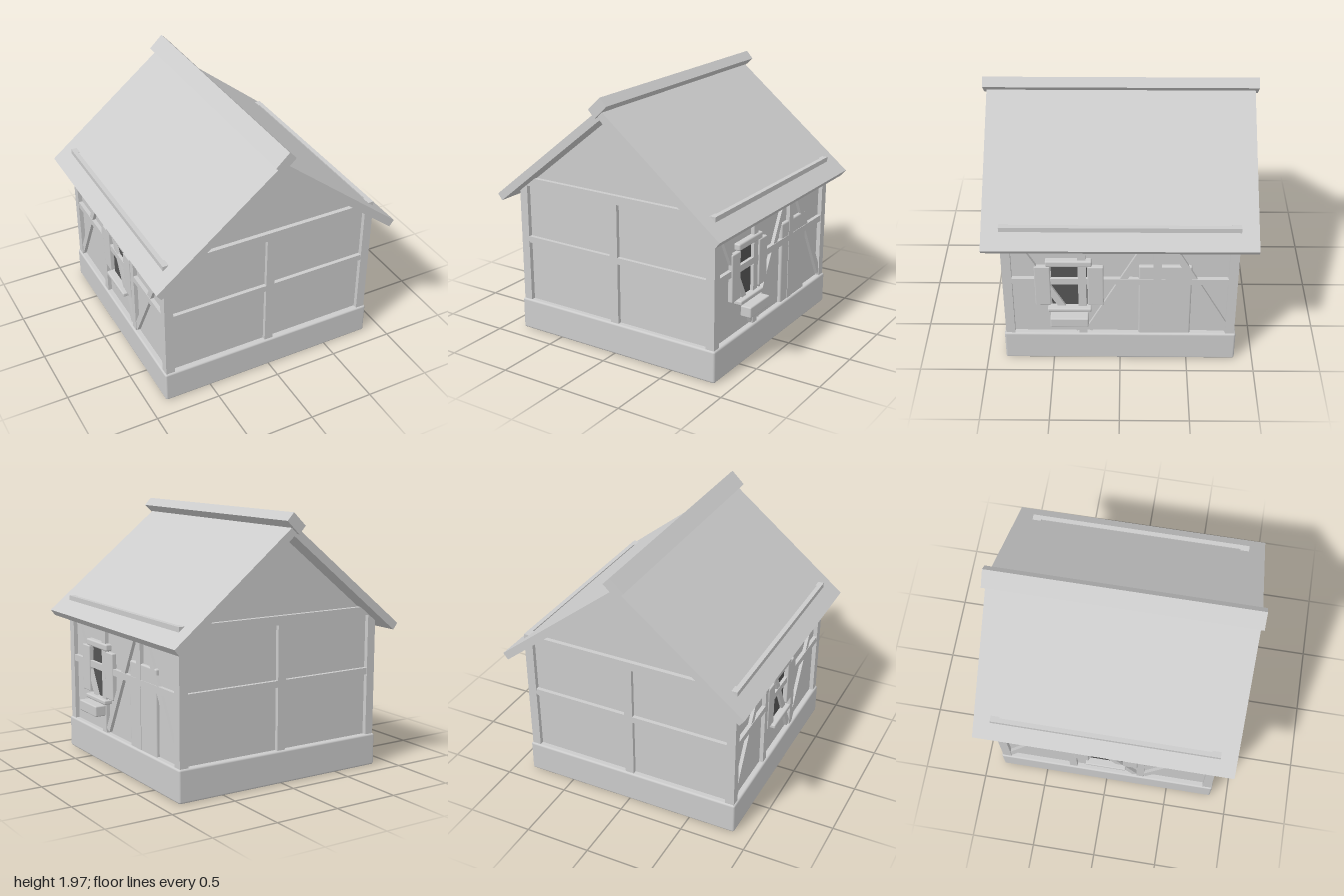
import * as THREE from 'three';
import { RoundedBoxGeometry } from 'three/addons/geometries/RoundedBoxGeometry.js';

const grey = new THREE.MeshStandardMaterial({ color: 0xcccccc });
const dark = new THREE.MeshStandardMaterial({ color: 0x555555 });

// Box given by its extents on each axis; a radius softens its edges
function block(parent, name, [x0, x1], [y0, y1], [z0, z1], radius = 0, material = grey) {
  const size = [x1 - x0, y1 - y0, z1 - z0];
  const geometry = radius
    ? new RoundedBoxGeometry(...size, 2, radius)
    : new THREE.BoxGeometry(...size);
  const mesh = new THREE.Mesh(geometry, material);
  mesh.name = name;
  mesh.position.set((x0 + x1) / 2, (y0 + y1) / 2, (z0 + z1) / 2);
  parent.add(mesh);
  return mesh;
}

// Prism with its outline in the xy plane, centred along z
function prism(parent, name, points, depth) {
  const shape = new THREE.Shape(points.map(([x, y]) => new THREE.Vector2(x, y)));
  const geometry = new THREE.ExtrudeGeometry(shape, { depth, bevelEnabled: false });
  geometry.translate(0, 0, -depth / 2);
  const mesh = new THREE.Mesh(geometry, grey);
  mesh.name = name;
  parent.add(mesh);
  return mesh;
}

// Slanted timber on a side wall, from [z, y] to [z, y]
function brace(parent, side, [za, ya], [zb, yb]) {
  const length = Math.hypot(zb - za, yb - ya);
  const mesh = new THREE.Mesh(new THREE.BoxGeometry(0.04, length, 0.05), grey);
  mesh.name = 'brace';
  mesh.position.set(side * 0.826, (ya + yb) / 2, (za + zb) / 2);
  mesh.rotation.x = Math.atan2(zb - za, yb - ya);
  parent.add(mesh);
}

// Window facing +x, centred on z = 0
function makeWindow(withFlowerBox) {
  const g = new THREE.Group();
  g.name = 'window';
  block(g, 'windowPane', [0.8, 0.825], [0.5, 0.89], [-0.13, 0.13], 0, dark);
  for (const s of [-1, 1]) {
    const z = [s * 0.135, s * 0.25].sort((a, b) => a - b);
    block(g, 'shutter', [0.82, 0.858], [0.52, 0.88], z, 0.008);
  }
  block(g, 'lintel', [0.81, 0.866], [0.885, 0.937], [-0.168, 0.168], 0.012);
  block(g, 'sill', [0.81, 0.882], [0.472, 0.506], [-0.16, 0.16], 0.01);
  if (withFlowerBox) block(g, 'flowerBox', [0.862, 0.948], [0.383, 0.466], [-0.14, 0.14], 0.01);
  return g;
}

export function createModel() {
  const house = new THREE.Group();
  house.name = 'house';

  // Plinth and plastered body with gables
  block(house, 'plinth', [-0.865, 0.865], [0, 0.245], [-0.865, 0.865], 0.015);
  prism(house, 'walls', [[-0.82, 0.2], [0.82, 0.2], [0.82, 1.15], [0, 1.805], [-0.82, 1.15]], 1.64);

  // Timber frame
  const frame = new THREE.Group();
  frame.name = 'timberFrame';
  house.add(frame);
  const outer = (s, a, b) => (s > 0 ? [a, b] : [-b, -a]);
  for (const s of [-1, 1]) {
    const face = outer(s, 0.8, 0.85);
    // Corner posts
    for (const t of [-1, 1]) {
      block(frame, 'cornerPost', outer(s, 0.785, 0.853), [0.23, 1.17], outer(t, 0.785, 0.853));
    }
    // Front and back timbers
    block(frame, 'gableBeam', [-0.853, 0.853], [1.165, 1.23], outer(s, 0.785, 0.853));
    block(frame, 'gableRail', [-0.8, 0.8], [0.713, 0.762], face);
    block(frame, 'gablePost', [-0.034, 0.034], [0.23, 1.17], face);
    // Side timbers
    block(frame, 'wallPlate', outer(s, 0.818, 0.853), [1.165, 1.23], [-0.853, 0.853]);
    block(frame, 'sideRail', face, [0.715, 0.765], [-0.8, 0.8]);
    for (const z of [-0.27, 0.275]) {
      block(frame, 'sidePost', face, [0.23, 1.17], [z - 0.03, z + 0.03]);
    }
    brace(frame, s, [0.3, 0.27], [0.78, 1.15]);
    brace(frame, s, [0.23, 0.27], [-0.23, 1.15]);
    brace(frame, s, [-0.8, 0.27], [-0.32, 1.15]);
  }

  // Door and windows
  block(house, 'door', [0.78, 0.846], [0.23, 0.88], [-0.52, -0.135], 0.012);
  const rightWindow = makeWindow(true);
  rightWindow.position.z = 0.37;
  const leftWindow = makeWindow(false);
  leftWindow.rotation.y = Math.PI;
  house.add(rightWindow, leftWindow);

  // Roof slopes and the tilted ridge beam
  for (const s of [-1, 1]) {
    const outline = [[0, 1.8], [0.924, 1.06], [0.961, 1.107], [0, 1.877]].map(([x, y]) => [s * x, y]);
    prism(house, 'roofSlope', outline, 1.955);
  }
  const ridge = block(house, 'ridgeBeam', [-0.07, 0.07], [1.851, 1.929], [-1, 1]);
  ridge.rotation.z = 0.76;

  return house;
}
